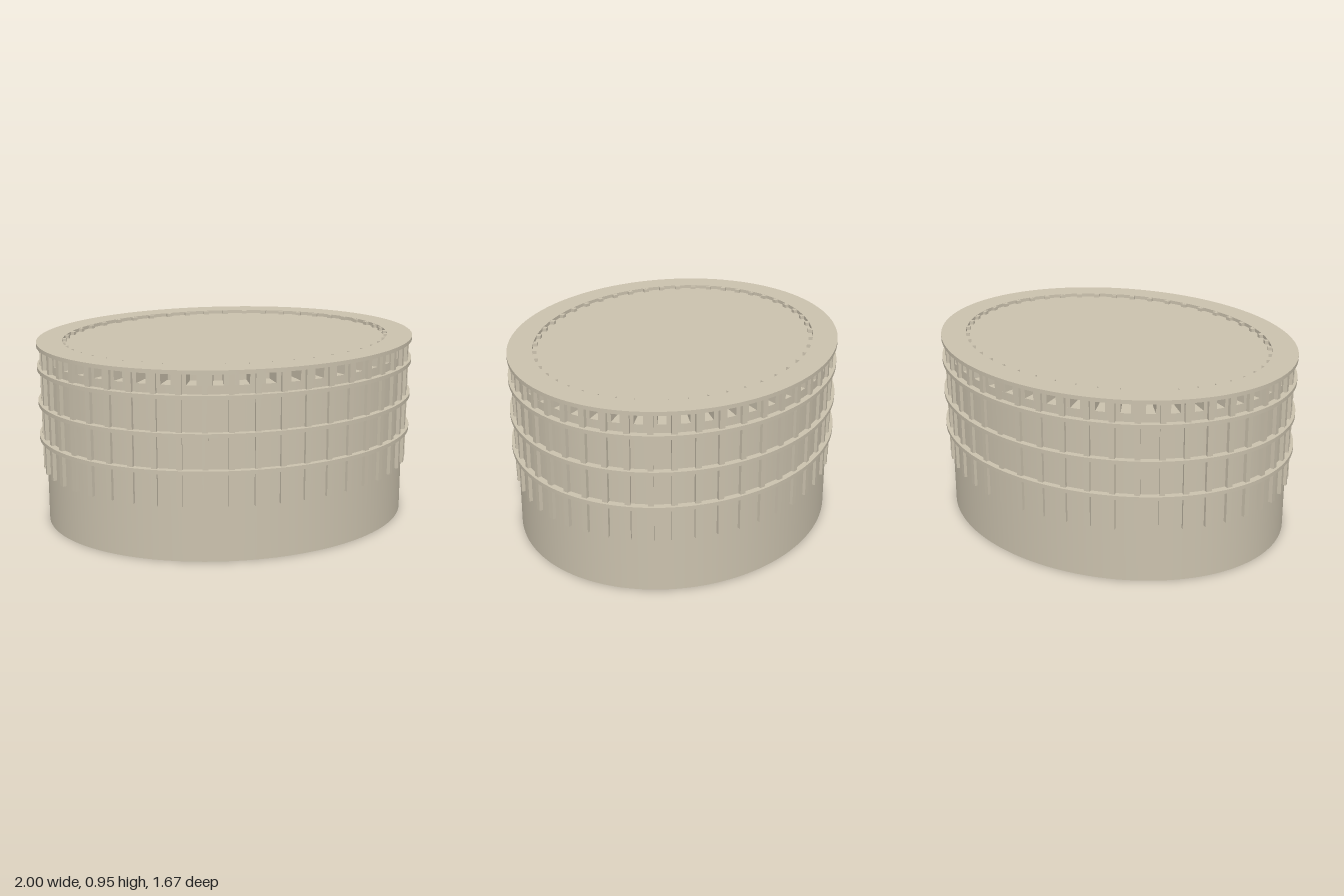
import * as THREE from 'three';
import { toCreasedNormals } from 'three/addons/utils/BufferGeometryUtils.js';

const BAYS = 48;
const STEP = (Math.PI * 2) / BAYS;
const OUTER = [0.965, 0.805];
const INNER = [0.867, 0.707];

const at = ([a, b], t) => new THREE.Vector2(a * Math.cos(t), b * Math.sin(t));

// Extrudes a plan shape upward between two heights
function raise(shape, y0, y1) {
  const geo = new THREE.ExtrudeGeometry(shape, { depth: y1 - y0, bevelEnabled: false, curveSegments: 96 });
  geo.rotateX(-Math.PI / 2).translate(0, y0, 0);
  return toCreasedNormals(geo, 0.5);
}

// Elliptical disc, or a ring when an inner ellipse is given
function oval(outer, y0, y1, inner) {
  const shape = new THREE.Shape().absellipse(0, 0, outer[0], outer[1], 0, Math.PI * 2);
  if (inner) shape.holes.push(new THREE.Path().absellipse(0, 0, inner[0], inner[1], 0, Math.PI * 2, true));
  return raise(shape, y0, y1);
}

export function createModel() {
  const group = new THREE.Group();
  const stone = new THREE.MeshStandardMaterial({ color: 0xcac1ad });
  stone.name = 'warm stone';
  const add = (name, geo, parent = group) => {
    const mesh = new THREE.Mesh(geo, stone);
    mesh.name = name;
    parent.add(mesh);
    return mesh;
  };

  // Main wall, open at the bottom
  add('wall', oval(OUTER, 0, 0.872, INNER));

  // Top rim and the slightly sunken roof
  add('topRim', oval([1, 0.835], 0.93, 0.95, INNER));
  add('roof', oval([0.869, 0.709], 0.928, 0.932));

  // Horizontal bands around the ribs
  for (const y of [0.455, 0.637, 0.82]) add('band', oval([1, 0.835], y - 0.01, y + 0.01, [0.96, 0.8]));

  // Piers leave a row of small windows under the rim; ribs pass through the wall
  const piers = new THREE.Group();
  piers.name = 'windowPiers';
  const ribs = new THREE.Group();
  ribs.name = 'ribs';
  group.add(piers, ribs);
  const half = 0.0395;
  const mid = [0.9175, 0.7525];
  const ribGeo = new THREE.BoxGeometry(0.135, 0.669, 0.028);
  for (let i = 0; i < BAYS; i++) {
    const t = i * STEP;
    const plan = new THREE.Shape([
      at(OUTER, t - half), at(OUTER, t), at(OUTER, t + half),
      at(INNER, t + half), at(INNER, t), at(INNER, t - half),
    ]);
    add('pier', raise(plan, 0.872, 0.93), piers);

    const p = at(mid, t);
    const rib = add('rib', ribGeo, ribs);
    rib.position.set(p.x, 0.6145, -p.y);
    rib.rotation.y = Math.atan2(Math.sin(t) / mid[1], Math.cos(t) / mid[0]);
  }

  // Inner floor with a tapered bowl hanging below it
  add('innerFloor', oval([0.869, 0.709], 0.43, 0.46));
  const bowl = new THREE.CylinderGeometry(0.57, 0.37, 0.165, 96);
  bowl.scale(1, 1, 0.8).translate(0, 0.3525, 0);
  add('hangingBowl', bowl);

  return group;
}
